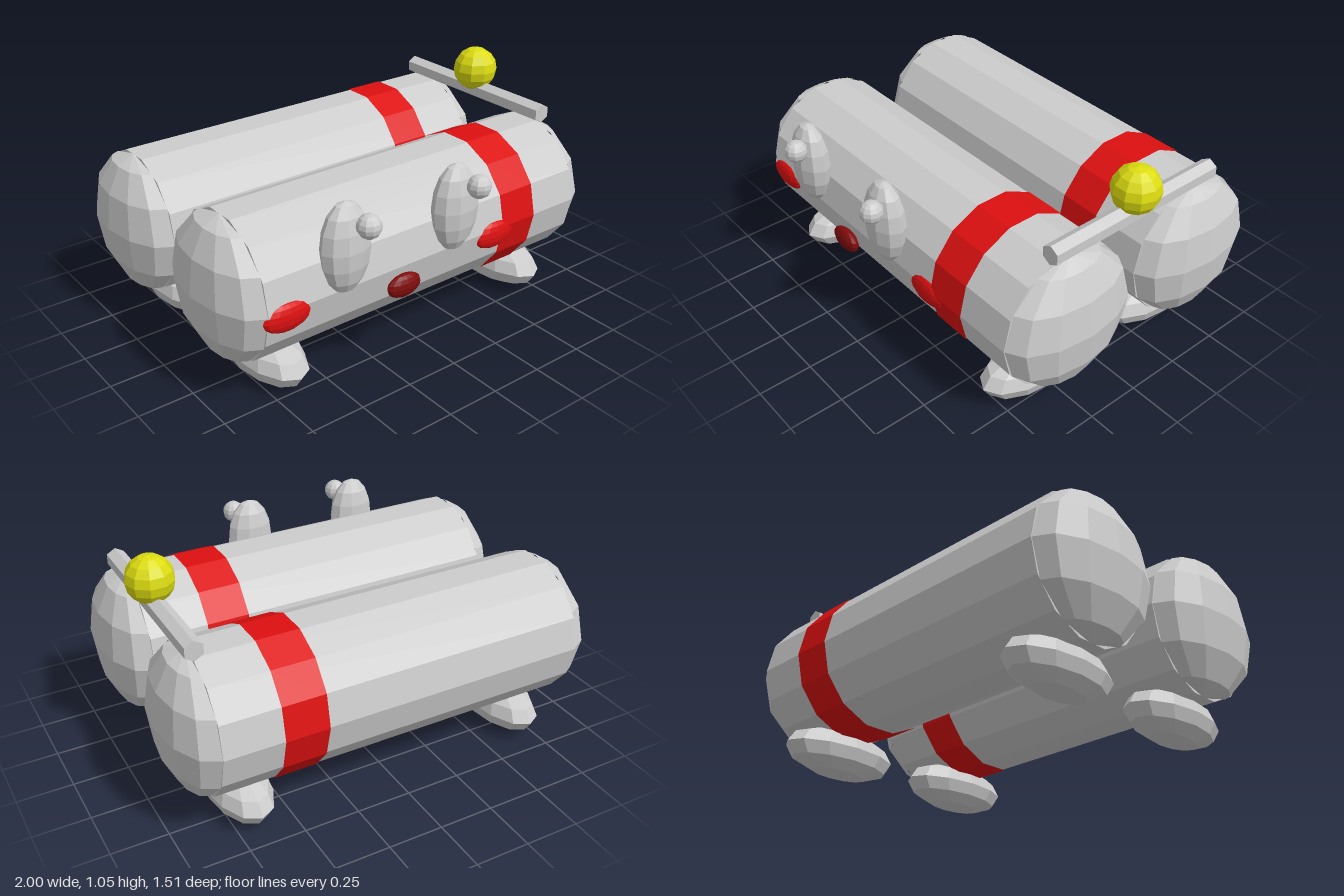
import * as THREE from 'three';

export function createModel() {
  const model = new THREE.Group();
  const mat = (name, color) => {
    const m = new THREE.MeshStandardMaterial({ color, flatShading: true });
    m.name = name;
    return m;
  };
  const grey = mat('light grey', 0xcccccc);
  const red = mat('red', 0xdd1010);
  const darkRed = mat('dark red', 0x800c0c);
  const yellow = mat('yellow', 0xdcdc10);

  const add = (name, geometry, material, x, y, z) => {
    const mesh = new THREE.Mesh(geometry, material);
    mesh.name = name;
    mesh.position.set(x, y, z);
    model.add(mesh);
    return mesh;
  };
  const ellipsoid = (rx, ry, rz, w = 12, h = 6) =>
    new THREE.SphereGeometry(1, w, h).scale(rx, ry, rz);

  const axisY = 0.487;
  for (const [side, z] of [['front', 0.285], ['back', -0.43]]) {
    // Long barrel with its painted band
    add(side + 'Tank', new THREE.CylinderGeometry(0.325, 0.325, 1.69, 14).rotateZ(Math.PI / 2), grey, 0, axisY, z);
    add(side + 'Band', new THREE.CylinderGeometry(0.33, 0.33, 0.195, 14, 1, true).rotateZ(Math.PI / 2), red, 0.4875, axisY, z);
    for (const s of [-1, 1]) {
      // Domed end
      const dome = new THREE.SphereGeometry(1, 6, 6, Math.PI / 2, Math.PI);
      dome.scale(0.155, 0.322, 0.322);
      if (s < 0) dome.rotateY(Math.PI);
      add(side + 'Dome', dome, grey, s * 0.845, axisY, z);
      // Flattened foot
      add(side + 'Foot', ellipsoid(0.135, 0.11, 0.285), grey, s * 0.675, 0.115, z);
    }
  }

  // Face on the front barrel
  for (const x of [-0.485, 0.09]) {
    add('eye', ellipsoid(0.115, 0.2, 0.077, 10, 8), grey, x, 0.68, 0.613);
    add('pupil', ellipsoid(0.052, 0.052, 0.052, 10, 8), grey, x + 0.044, 0.794, 0.705);
  }
  for (const x of [-0.752, 0.352])
    add('cheek', ellipsoid(0.112, 0.064, 0.03, 12, 8), red, x, 0.46, 0.597);
  add('mouth', ellipsoid(0.087, 0.053, 0.033, 12, 8), darkRed, -0.2, 0.418, 0.637);

  // Crossbar with a ball on top
  add('crossbar', new THREE.CylinderGeometry(0.045, 0.045, 0.905, 6).rotateX(Math.PI / 2), grey, 0.843, 0.845, -0.068);
  add('ball', ellipsoid(0.106, 0.106, 0.106, 10, 8), yellow, 0.843, 0.945, -0.068);

  return model;
}
